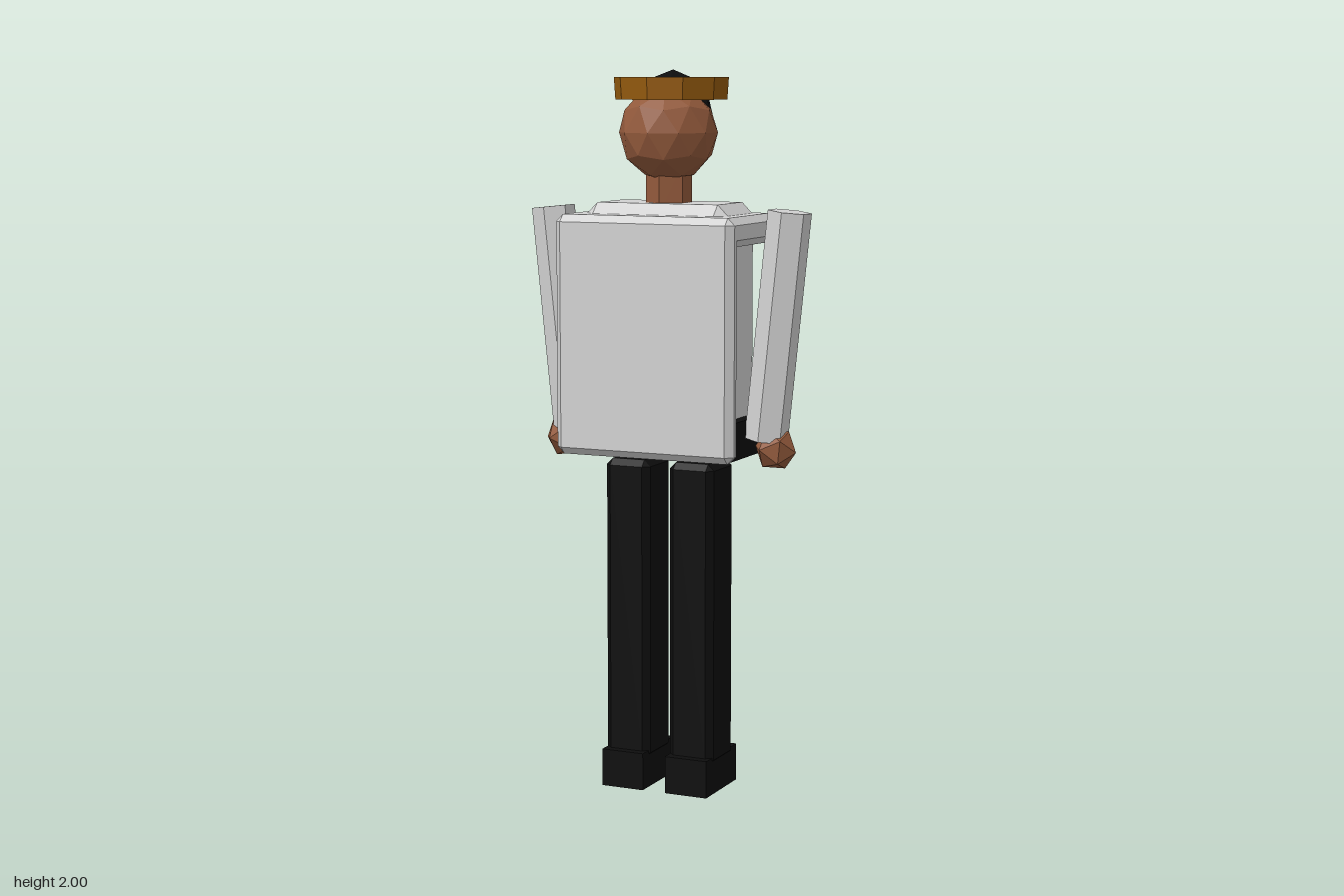
import * as THREE from 'three';
import { ConvexGeometry } from 'three/addons/geometries/ConvexGeometry.js';

const material = (name, color) => {
  const m = new THREE.MeshStandardMaterial({ color, flatShading: true });
  m.name = name;
  return m;
};

// Box with all edges and corners chamfered by c, given as [min, max] per axis
function chamferBox([x0, x1], [y0, y1], [z0, z1], c) {
  const half = [(x1 - x0) / 2, (y1 - y0) / 2, (z1 - z0) / 2];
  const points = [];
  for (const sx of [-1, 1]) for (const sy of [-1, 1]) for (const sz of [-1, 1]) {
    for (let axis = 0; axis < 3; axis++) {
      const [x, y, z] = half.map((h, i) => (i === axis ? h : h - c));
      points.push(new THREE.Vector3(x * sx, y * sy, z * sz));
    }
  }
  return new ConvexGeometry(points).translate((x0 + x1) / 2, (y0 + y1) / 2, (z0 + z1) / 2);
}

function plainBox([x0, x1], [y0, y1], [z0, z1]) {
  return new THREE.BoxGeometry(x1 - x0, y1 - y0, z1 - z0)
    .translate((x0 + x1) / 2, (y0 + y1) / 2, (z0 + z1) / 2);
}

// Faceted ball with one vertex pointing straight up
function facetedBall(radius) {
  return new THREE.IcosahedronGeometry(radius, 1).rotateZ(-Math.atan(2 / (1 + Math.sqrt(5))));
}

export function createModel() {
  const shirt = material('shirt grey', 0xd2d2d2);
  const black = material('black', 0x0e0e0e);
  const skin = material('skin brown', 0x935a3c);
  const hatBrown = material('hat brown', 0x945a0e);

  const model = new THREE.Group();
  model.name = 'figure';
  const add = (name, geometry, mat) => {
    const mesh = new THREE.Mesh(geometry, mat);
    mesh.name = name;
    model.add(mesh);
    return mesh;
  };

  // Torso: core, front panel, shoulder slab and belt
  add('torso', chamferBox([-0.212, 0.212], [0.94, 1.64], [-0.125, 0.107], 0.032), shirt);
  add('frontPanel', chamferBox([-0.265, 0.265], [0.95, 1.61], [0.122, 0.176], 0.02), shirt);
  add('shoulderSlab', chamferBox([-0.265, 0.265], [1.53, 1.61], [-0.146, 0.176], 0.02), shirt);
  add('belt', plainBox([-0.245, 0.245], [0.952, 1.055], [-0.15, 0.128]), black);

  // Neck and head
  add('neck', new THREE.CylinderGeometry(0.063, 0.063, 0.14, 6).translate(0, 1.68, -0.003), skin);
  add('head', facetedBall(0.136).translate(0, 1.83, 0), skin);

  // Hair: tall faceted cap cut flat at the bottom
  const hair = facetedBall(1).scale(0.117, 0.16, 0.117).translate(0, 1.84, -0.03);
  const p = hair.attributes.position;
  for (let i = 0; i < p.count; i++) p.setY(i, Math.max(p.getY(i), 1.845));
  hair.computeVertexNormals();
  add('hair', hair, black);

  // Flat ten-sided hat
  add('hat', new THREE.CylinderGeometry(0.158, 0.154, 0.06, 10).translate(0, 1.949, -0.018), hatBrown);

  // Limbs, mirrored left and right
  const top = new THREE.Vector3(0.357, 1.622, -0.004);
  const bottom = new THREE.Vector3(0.292, 1.0, -0.004);
  const tilt = Math.atan2(top.x - bottom.x, top.y - bottom.y);
  for (const side of [1, -1]) {
    const label = side > 0 ? 'left' : 'right';
    const span = (a, b) => (side > 0 ? [a, b] : [-b, -a]);

    const arm = add(label + 'Arm', new THREE.CylinderGeometry(0.06, 0.06, top.distanceTo(bottom), 6), shirt);
    arm.position.copy(top).add(bottom).multiplyScalar(0.5);
    arm.position.x *= side;
    arm.rotation.z = -tilt * side;

    const hand = add(label + 'Hand', new THREE.IcosahedronGeometry(0.06, 0).rotateY(0.5536), skin);
    hand.position.set(0.32 * side, 0.975, -0.004);
    hand.rotation.z = -tilt * side;

    add(label + 'Leg', chamferBox(span(0.03, 0.163), [0.08, 0.93], [-0.084, 0.073], 0.018), black);
    add(label + 'Shoe', plainBox(span(0.034, 0.16), [0, 0.105], [-0.112, 0.098]), black);
  }
  return model;
}
